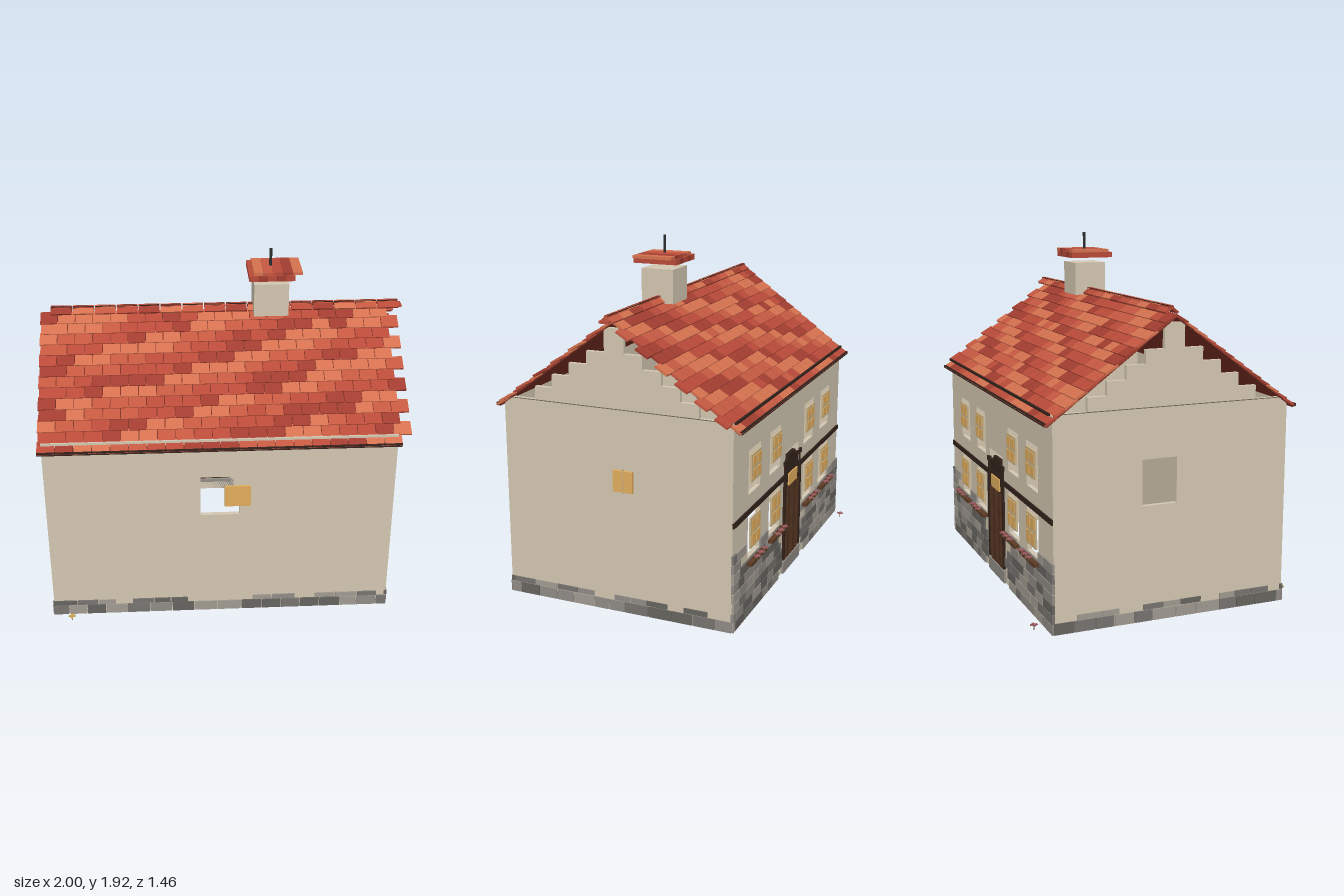
import * as THREE from 'three';
import { mergeGeometries } from 'three/addons/utils/BufferGeometryUtils.js';

const PLASTER = 0xd2c6b0, DARK = 0x33221c, WOOD = 0x5c3a24, YELLOW = 0xe0ac5c, FRAME = 0xcbb48a;
const STONES = [0x8f8a84, 0x76736f, 0xa09a90, 0x66645f];
const TILES = [0xb84a38, 0xa23d30, 0xd4714f, 0xc55841];
const WINDOW_X = [-0.67, -0.35, 0.26, 0.59];
const DOOR_X = -0.04;

let seed = 7;
const rand = () => (seed = (seed * 16807) % 2147483647) / 2147483647;
const pick = list => list[Math.floor(rand() * list.length)];

export function createModel() {
  const house = new THREE.Group();
  house.name = 'house';
  const parts = new Map();

  // Collects geometry by part name and colour, merged at the end
  const add = (name, color, geo) => {
    const key = name + '|' + color;
    if (!parts.has(key)) parts.set(key, { name, color, geos: [] });
    parts.get(key).geos.push(geo);
  };
  const box = (name, color, w, h, d, x, y, z, rx = 0) =>
    add(name, color, new THREE.BoxGeometry(w, h, d).rotateX(rx).translate(x, y, z));
  // Box given by its limits
  const span = (name, color, x0, x1, y0, y1, z0, z1) =>
    box(name, color, x1 - x0, y1 - y0, z1 - z0, (x0 + x1) / 2, (y0 + y1) / 2, (z0 + z1) / 2);

  // Wall panel from an outline with rectangular holes [u0, u1, v0, v1]
  const T = 0.025;
  const panel = (outline, holes) => {
    const shape = new THREE.Shape(outline.map(p => new THREE.Vector2(...p)));
    for (const [a, b, c, d] of holes) {
      shape.holes.push(new THREE.Path([[a, c], [a, d], [b, d], [b, c]].map(p => new THREE.Vector2(...p))));
    }
    return new THREE.ExtrudeGeometry(shape, { depth: T, bevelEnabled: false });
  };
  const rect = (a, b, c, d) => [[a, c], [b, c], [b, d], [a, d]];

  // Front and back walls
  add('frontWall', PLASTER, panel(rect(-0.98, 0.9, 0, 1.11), [[-0.15, 0.06, 0.64, 0.88]]).translate(0, 0, 0.625));
  const backHoles = [[DOOR_X - 0.12, DOOR_X + 0.13, 0.05, 0.72]];
  for (const x of WINDOW_X) {
    backHoles.push([x - 0.09, x + 0.09, 0.32, 0.56], [x - 0.09, x + 0.09, 0.67, 0.91]);
  }
  add('backWall', PLASTER, panel(rect(-0.98, 0.9, 0, 1.11), backHoles).translate(0, 0, -0.645));

  // Side walls, with a stepped gable above
  const gable = [];
  for (let i = 0; i < 6; i++) {
    const hw = 0.565 - i * 0.102;
    if (i > 0) gable.push([hw, 1.114 + (i - 1) * 0.072]);
    gable.push([hw, 1.114 + i * 0.072]);
  }
  gable[0] = [0.625, 1.114];
  gable.push([0.055, 1.53]);
  const outline = [[-0.625, 0], [0.625, 0], ...gable, ...gable.slice().reverse().map(([u, v]) => [-u, v])];
  add('rightWall', PLASTER, panel(outline, []).rotateY(Math.PI / 2).translate(0.875, 0, 0));
  add('leftWall', PLASTER, panel(outline, [[-0.02, 0.17, 0.61, 0.85]]).rotateY(Math.PI / 2).translate(-0.98, 0, 0));
  for (const x of [-0.983, 0.903]) span('gableJoint', 0x6f675a, x - 0.001, x + 0.001, 1.111, 1.115, -0.64, 0.64);

  // Low stone plinth on the front and both sides, full course plus broken course
  for (const [y0, y1, chance] of [[0, 0.058, 1], [0.062, 0.09, 0.75]]) {
    for (const side of ['front', 'left', 'right']) {
      const [a, b] = side === 'front' ? [-0.985, 0.905] : [-0.645, 0.655];
      for (let u = a; u < b - 0.02;) {
        const e = Math.min(b, u + 0.09 + rand() * 0.05);
        if (rand() < chance) {
          const c = pick(STONES);
          if (side === 'front') span('plinthStones', c, u, e - 0.004, y0, y1, 0.64, 0.657);
          else if (side === 'right') span('plinthStones', c, 0.89, 0.906, y0, y1, u, e - 0.004);
          else span('plinthStones', c, -0.988, -0.97, y0, y1, u, e - 0.004);
        }
        u = e;
      }
    }
  }

  // Stone cladding on the lower back wall, ragged at the top near the corners
  for (let r = 0; r < 8; r++) {
    const y0 = r * 0.053;
    for (let x = -0.985; x < 0.89;) {
      const e = Math.min(0.905, x + 0.08 + rand() * 0.07);
      const inDoor = e > DOOR_X - 0.14 && x < DOOR_X + 0.14;
      const inWindow = y0 > 0.27 && WINDOW_X.some(w => e > w - 0.09 && x < w + 0.09);
      const tooHigh = r > 6 && rand() < 0.4;
      if (!inDoor && !inWindow && !tooHigh) {
        span('backStones', pick(STONES), x, e - 0.004, y0, y0 + 0.049, -0.655, -0.64);
      }
      x = e;
    }
  }
  span('doorStep', STONES[0], DOOR_X - 0.15, DOOR_X + 0.15, 0, 0.07, -0.658, -0.62);

  // Beam across the back wall, broken by the doorway
  span('beam', DARK, -0.98, DOOR_X - 0.13, 0.565, 0.593, -0.653, -0.64);
  span('beam', DARK, DOOR_X + 0.13, 0.9, 0.565, 0.593, -0.653, -0.64);

  // Small flower: stem with a crossed head
  const flower = (x, y, z, color) => {
    box('flower', 0x55602f, 0.004, 0.03, 0.004, x, y, z);
    box('flower', color, 0.036, 0.006, 0.012, x, y + 0.014, z);
    box('flower', color, 0.012, 0.006, 0.036, x, y + 0.014, z);
  };

  // Back windows: frame with four lights; sills and flowers on the lower ones
  for (const x of WINDOW_X) {
    for (const [y, h] of [[0.81, 0.15], [0.455, 0.17]]) {
      box('windowFrame', FRAME, 0.15, h, 0.01, x, y, -0.652);
      for (const s of [-1, 1]) {
        for (const t of [-1, 1]) {
          box('windowLight', YELLOW, 0.052, h / 2 - 0.023, 0.016, x + s * 0.035, y + t * (h / 4 - 0.002), -0.653);
        }
      }
    }
    box('windowSill', WOOD, 0.24, 0.018, 0.045, x, 0.302, -0.66);
    for (const d of [-0.06, 0, 0.06]) flower(x + d, 0.318, -0.69, 0x9c5a60);
  }
  flower(-0.88, 0.015, 0.71, 0xc9a24a);
  flower(-0.88, 0.015, -0.715, 0x9c5a60);

  // Shutters on the front and right walls
  span('frontShutter', YELLOW, -0.02, 0.12, 0.7, 0.825, 0.651, 0.663);
  for (const z of [-0.075, -0.017]) box('rightShutter', YELLOW, 0.016, 0.115, 0.053, 0.91, 0.735, z);
  box('rightShutter', FRAME, 0.02, 0.13, 0.005, 0.91, 0.735, -0.046);

  // Plank door with light panel, posts and stepped crown
  for (let i = 0; i < 5; i++) {
    box('doorPlank', i % 2 ? 0x50311f : WOOD, 0.045, 0.43, 0.016, DOOR_X - 0.096 + i * 0.048, 0.285, -0.643);
  }
  span('doorPanel', YELLOW, DOOR_X - 0.075, DOOR_X + 0.075, 0.51, 0.58, -0.656, -0.64);
  span('doorFrame', DARK, DOOR_X - 0.13, DOOR_X + 0.13, 0.5, 0.6, -0.648, -0.628);
  span('doorFrame', DARK, DOOR_X - 0.12, DOOR_X + 0.13, 0.6, 0.66, -0.645, -0.625);
  span('doorFrame', DARK, DOOR_X - 0.06, DOOR_X + 0.06, 0.66, 0.69, -0.645, -0.625);
  for (const s of [-1, 1]) {
    box('doorPost', DARK, 0.022, 0.5, 0.02, DOOR_X + s * 0.135, 0.33, -0.647);
    box('doorFinial', DARK, 0.012, 0.09, 0.012, DOOR_X + s * 0.135, 0.62, -0.647);
    box('doorFinial', DARK, 0.03, 0.025, 0.02, DOOR_X + s * 0.135, 0.66, -0.647);
  }

  // Roof slopes: underlay, staggered overlapping tiles, eave board
  const A = Math.atan2(0.735, 1), ROWS = 13, L = 0.845;
  const onSlope = (d, lift, s) =>
    [1.563 - d * Math.sin(A) + lift * Math.cos(A), s * (d * Math.cos(A) + lift * Math.sin(A))];
  for (const s of [-1, 1]) {
    box('roofUnderlay', 0x7c3023, 1.9, 0.006, L, -0.045, ...onSlope(L / 2, -0.004, s), s * A);
    for (let r = 0; r < ROWS; r++) {
      const d = (r + 0.5) * L / ROWS, odd = r % 2;
      for (let i = 0; i < 20; i++) {
        const x0 = Math.max(-1, -1.0 + i * 0.096 + (odd ? 0.055 : 0));
        const start = odd && i === 0 ? -0.995 : x0;
        const end = x0 + 0.092;
        const color = TILES[Math.floor(((i + r * 2 + (s > 0 ? 1 : 0)) % 8) / 2 + rand() * 1.3) % 4];
        box('roofTiles', color, end - start, 0.012, 0.078, (start + end) / 2, ...onSlope(d, 0.005, s), s * (A - 0.09));
      }
    }
    box('eaveBoard', DARK, 1.915, 0.016, 0.016, -0.0425, 1.07, s * 0.685);
  }
  box('snowRail', DARK, 1.86, 0.012, 0.012, -0.03, 1.113, -0.655);

  // Ridge caps: pairs of crossed slats
  for (let i = 0; i < 16; i++) {
    const x = -0.885 + i * 0.1205;
    for (const s of [-1, 1]) {
      box('ridgeCaps', TILES[(i + (s > 0 ? 1 : 0)) % 4], 0.114, 0.012, 0.055, x, 1.588, s * 0.013, s * A);
    }
    box('ridgeCaps', DARK, 0.112, 0.006, 0.02, x, 1.604, 0);
  }
  box('ridgeEnd', TILES[0], 0.06, 0.014, 0.055, 0.97, 1.577, 0);

  // Chimney with two layers of cap tiles and a thin rod
  span('chimney', PLASTER, 0.17, 0.36, 1.565, 1.75, -0.085, 0.1);
  for (let i = 0; i < 5; i++) {
    span('chimneyCap', TILES[i % 2], 0.14 + i * 0.05, 0.189 + i * 0.05, 1.78, 1.81, -0.117, 0.132);
    span('chimneyCap', TILES[(i + 2) % 4], 0.165 + i * 0.053, 0.217 + i * 0.053, 1.81, 1.826, -0.105, 0.12);
  }
  add('chimneyRod', 0x2c2c2c, new THREE.CylinderGeometry(0.008, 0.008, 0.1, 8).translate(0.265, 1.872, 0.005));

  for (const { name, color, geos } of parts.values()) {
    const mesh = new THREE.Mesh(mergeGeometries(geos), new THREE.MeshStandardMaterial({ color }));
    mesh.name = name;
    house.add(mesh);
  }
  return house;
}
